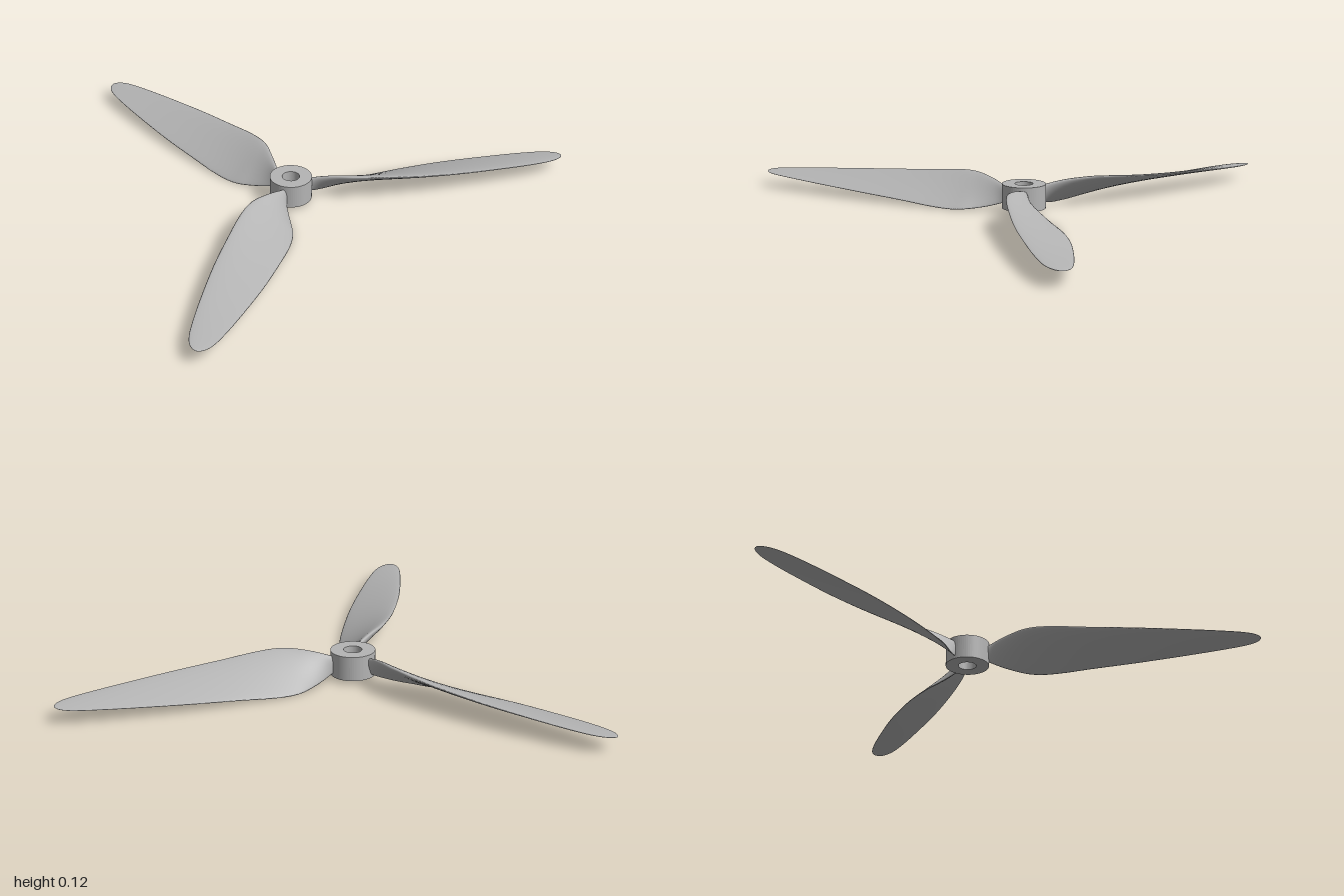
import * as THREE from 'three';

const HUB_Z = -0.28, MID_Y = 0.067;

// Stations along a blade: distance from hub axis, half width, half height, half thickness
const stations = [
  [0.055, 0.003, 0.026, 0.009],
  [0.085, 0.007, 0.034, 0.010],
  [0.13, 0.030, 0.046, 0.012],
  [0.18, 0.056, 0.055, 0.013],
  [0.23, 0.080, 0.060, 0.013],
  [0.28, 0.093, 0.061, 0.012],
  [0.36, 0.102, 0.055, 0.011],
  [0.48, 0.104, 0.043, 0.010],
  [0.66, 0.100, 0.030, 0.008],
  [0.86, 0.083, 0.018, 0.006],
  [1.0, 0.066, 0.010, 0.005],
  [1.08, 0.051, 0.006, 0.004],
  [1.12, 0.036, 0.004, 0.003],
  [1.142, 0.018, 0.002, 0.002],
  [1.15, 0, 0, 0],
];

// Twisted, tapering aerofoil lofted along +z
function bladeGeometry() {
  const sides = 28, rings = 84;
  const outline = new THREE.CatmullRomCurve3(stations.map(([r, w, h]) => new THREE.Vector3(w, h, r)));
  const thickness = new THREE.CatmullRomCurve3(stations.map(([r, , , t]) => new THREE.Vector3(t, 0, r)));
  const positions = [], index = [];
  for (let k = 0; k <= rings; k++) {
    const { x: w, y: h, z: r } = outline.getPoint(k / rings);
    const t = thickness.getPoint(k / rings).x;
    const len = Math.hypot(w, h) || 1;
    for (let i = 0; i < sides; i++) {
      const a = (i / sides) * Math.PI * 2;
      const c = -Math.cos(a);
      const n = Math.sin(a) * t * (1 - 0.35 * c); // fuller leading edge
      positions.push(c * w + (n * h) / len, -c * h + (n * w) / len, r);
      if (k < rings) {
        const j = (i + 1) % sides, p = k * sides, q = p + sides;
        index.push(p + i, q + i, p + j, p + j, q + i, q + j);
      }
    }
  }
  const geometry = new THREE.BufferGeometry();
  geometry.setAttribute('position', new THREE.Float32BufferAttribute(positions, 3));
  geometry.setIndex(index);
  geometry.computeVertexNormals();
  return geometry;
}

// Ring-shaped hub with a shaft hole
function hubGeometry() {
  const ring = new THREE.Shape().absarc(0, 0, 0.085, 0, Math.PI * 2);
  ring.holes.push(new THREE.Path().absarc(0, 0, 0.035, 0, Math.PI * 2, true));
  return new THREE.ExtrudeGeometry(ring, { depth: 0.095, bevelEnabled: false, curveSegments: 32 })
    .rotateX(-Math.PI / 2);
}

export function createModel() {
  const grey = new THREE.MeshStandardMaterial({ color: 0xb4b4b4 });
  grey.name = 'grey';
  const propeller = new THREE.Group();
  propeller.name = 'propeller';

  const hub = new THREE.Mesh(hubGeometry(), grey);
  hub.name = 'hub';
  hub.position.set(0, 0.021, HUB_Z);
  propeller.add(hub);

  // Three blades at equal angles
  const geometry = bladeGeometry();
  ['frontBlade', 'leftBlade', 'rightBlade'].forEach((name, i) => {
    const blade = new THREE.Mesh(geometry, grey);
    blade.name = name;
    blade.position.set(0, MID_Y, HUB_Z);
    blade.rotation.y = (i * Math.PI * 2) / 3;
    propeller.add(blade);
  });
  return propeller;
}
